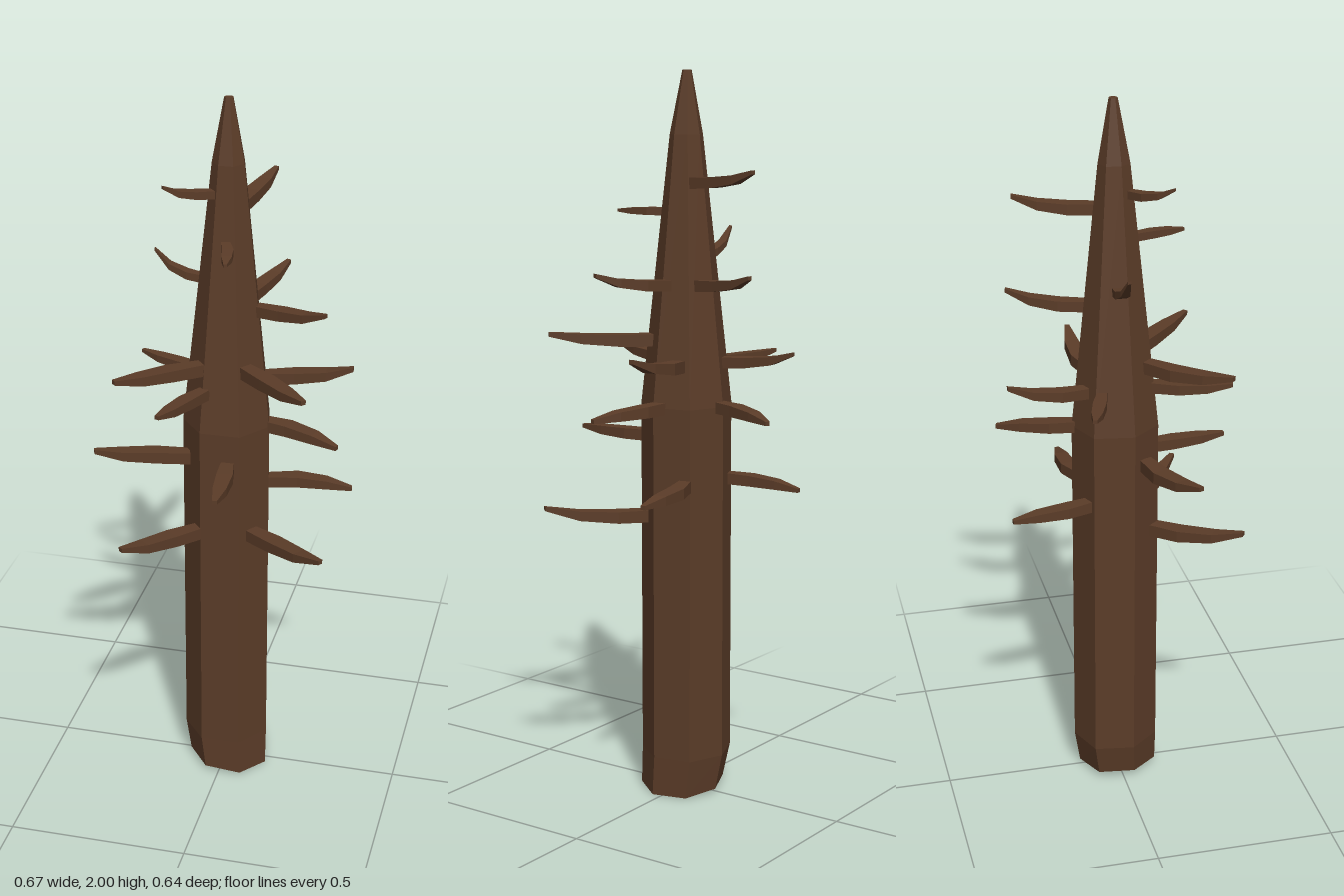
import * as THREE from 'three';

const bark = new THREE.MeshStandardMaterial({ color: 0x5b3c28, flatShading: true });

// Closed, capped skin over rings of points (counter-clockwise about the direction of travel).
function loft(rings) {
  const n = rings[0].length, pos = [], idx = [];
  rings.forEach(r => r.forEach(p => pos.push(p.x, p.y, p.z)));
  for (let i = 0; i < rings.length - 1; i++) {
    for (let j = 0; j < n; j++) {
      const a = i * n + j, b = i * n + (j + 1) % n;
      idx.push(a, b, b + n, a, b + n, a + n);
    }
  }
  const last = (rings.length - 1) * n;
  for (let j = 1; j < n - 1; j++) {
    idx.push(0, j + 1, j);
    idx.push(last, last + j, last + j + 1);
  }
  const g = new THREE.BufferGeometry();
  g.setAttribute('position', new THREE.Float32BufferAttribute(pos, 3));
  g.setIndex(idx);
  const flat = g.toNonIndexed();
  flat.computeVertexNormals();
  return flat;
}

// Seven-sided trunk outline [x, z]
const OUTLINE = [[-0.05, 0.106], [0.06, 0.106], [0.123, 0.02], [0.1, -0.085],
  [0, -0.125], [-0.1, -0.085], [-0.117, 0.025]];

// Trunk levels: [y, scale, x shift, z shift]
const LEVELS = [[0.01, 0.93, 0.008, 0.008], [0.11, 1, 0, 0], [1.1, 1, 0, 0],
  [1.83, 0.36, 0.003, -0.004], [2, 0.1, 0.003, -0.007]];

// Branches: [base x, base z, tip x, tip z, base y, tip y, sideways bow]
const BRANCHES = [
  [-0.07, -0.08, -0.095, -0.31, 0.89, 0.875, 0.012],
  [0.1, -0.07, 0.335, -0.1, 0.89, 0.877, 0.02],
  [-0.05, 0.08, -0.22, 0.305, 0.79, 0.827, -0.01],
  [0.07, 0.06, 0.315, 0.245, 0.79, 0.828, 0.008],
  [-0.09, 0.06, -0.335, 0.15, 1.005, 1.035, -0.015],
  [0.025, 0.09, 0.045, 0.32, 1.005, 1.012, 0.004],
  [0.09, 0, 0.32, 0.075, 1.1, 1.085, 0.015],
  [0, -0.1, 0.08, -0.32, 1.1, 1.085, 0.012],
  [-0.09, -0.06, -0.27, -0.12, 1.215, 1.227, 0],
  [-0.04, 0.09, -0.115, 0.295, 1.212, 1.227, -0.008],
  [-0.045, -0.09, -0.06, -0.31, 1.215, 1.252, 0.01],
  [0.09, -0.045, 0.335, -0.065, 1.215, 1.257, 0.015],
  [-0.05, 0.07, -0.24, 0.26, 1.277, 1.298, -0.012],
  [0.06, 0.06, 0.265, 0.265, 1.277, 1.298, 0.008],
  [0.08, 0, 0.285, 0.09, 1.43, 1.467, 0.01],
  [0.04, -0.07, 0.108, -0.28, 1.43, 1.467, 0.01],
  [-0.065, -0.015, -0.2, -0.013, 1.5, 1.572, 0],
  [0.01, 0.055, 0.043, 0.195, 1.623, 1.623, 0.006],
  [0.03, -0.045, 0.073, -0.265, 1.702, 1.737, 0.008],
  [-0.03, 0.03, -0.14, 0.12, 1.752, 1.79, -0.006]
];

// Branch sections: [along, rise, bow, half width, half height]
const SECTIONS = [[0, 0, 0, 0.018, 0.017], [0.35, 0.12, 0.85, 0.024, 0.016],
  [0.7, 0.4, 0.6, 0.02, 0.013], [1, 1, 0, 0.007, 0.006]];

function branchGeometry([bx, bz, tx, tz, by, ty, bow]) {
  const dx = tx - bx, dz = tz - bz, len = Math.hypot(dx, dz);
  const side = new THREE.Vector3(dz / len, 0, -dx / len);
  const size = THREE.MathUtils.clamp(len / 0.25, 0.65, 1);
  return loft(SECTIONS.map(([t, rise, b, w, h]) => {
    const c = new THREE.Vector3(bx + dx * t, by + (ty - by) * rise, bz + dz * t)
      .addScaledVector(side, bow * b);
    return [[-1, -1], [1, -1], [1, 1], [-1, 1]].map(([s, u]) => {
      const p = c.clone().addScaledVector(side, s * w * size);
      p.y += u * h * size;
      return p;
    });
  }));
}

export function createModel() {
  const model = new THREE.Group();
  model.name = 'deadTree';

  // Trunk, slightly uneven at the foot and tapering to a point
  const rings = LEVELS.map(([y, s, ox, oz], level) => OUTLINE.map(([x, z]) =>
    new THREE.Vector3(x * s + ox, level === 0 ? y - x * 0.08 : y, z * s + oz)));
  const trunk = new THREE.Mesh(loft(rings), bark);
  trunk.name = 'trunk';
  model.add(trunk);

  // Short broken branches
  const branches = new THREE.Group();
  branches.name = 'branches';
  BRANCHES.forEach((b, i) => {
    const branch = new THREE.Mesh(branchGeometry(b), bark);
    branch.name = `branch${i + 1}`;
    branches.add(branch);
  });
  model.add(branches);
  return model;
}
